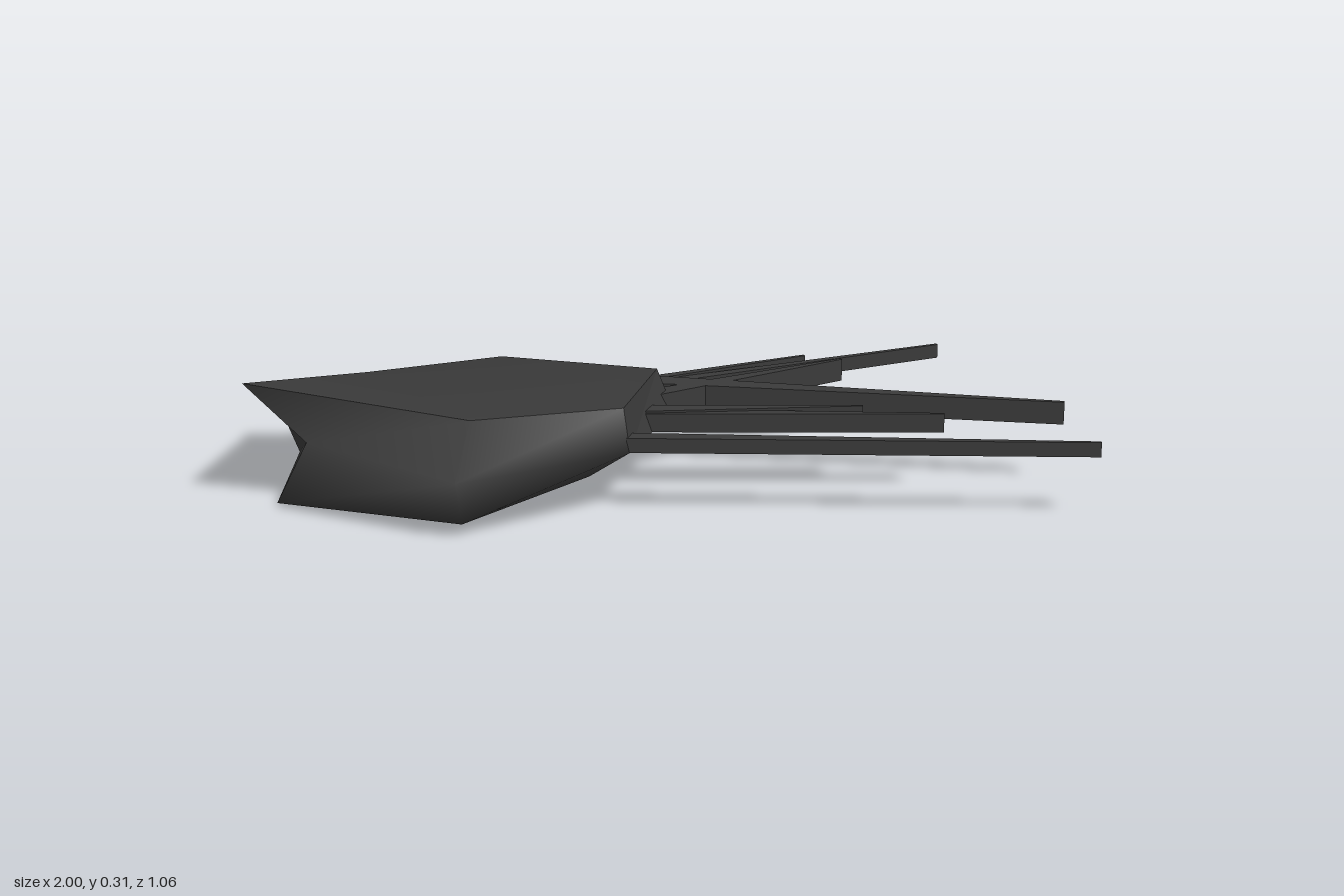
import * as THREE from 'three';

const darkGrey = new THREE.MeshStandardMaterial({ color: 0x3a3a3a, side: THREE.DoubleSide });
darkGrey.name = 'darkGrey';

// Corners of the hull: top ridge, middle rim and keel
const corners = {
  tailTop: [-0.95, 0.31, 0.34], tailBack: [-1, 0.155, -0.1], tailDip: [-0.73, 0.243, 0.015],
  tailNotch: [-0.82, 0.155, 0.29], tailKeelBack: [-0.93, 0.003, -0.075], tailKeelFront: [-0.89, 0.012, 0.31],
  ridgeFront: [-0.43, 0.235, 0.33], ridgeEnd: [-0.085, 0.26, 0.28],
  ridgeBackEnd: [-0.04, 0.265, -0.01], ridgeBack: [-0.43, 0.25, -0.12],
  rimFront: [-0.43, 0.155, 0.53], rimEnd: [-0.07, 0.155, 0.285],
  rimBackEnd: [0, 0.155, -0.025], rimBack: [-0.43, 0.155, -0.235],
  keelFront: [-0.43, 0.033, 0.46], keelEnd: [-0.17, 0.08, 0.245],
  keelBackEnd: [-0.15, 0.09, 0], keelBack: [-0.43, 0.035, -0.1],
};

// Panels share corners within one mesh, so they shade smoothly; flat ones stay faceted
function panels(name, faces, flat = false) {
  const names = [...new Set(faces.flat())];
  const index = [];
  for (const f of faces) {
    const i = f.map((n) => names.indexOf(n));
    for (let k = 1; k < i.length - 1; k++) index.push(i[0], i[k], i[k + 1]);
  }
  let geo = new THREE.BufferGeometry();
  geo.setAttribute('position', new THREE.Float32BufferAttribute(names.flatMap((n) => corners[n]), 3));
  geo.setIndex(index);
  if (flat) geo = geo.toNonIndexed();
  geo.computeVertexNormals();
  const mesh = new THREE.Mesh(geo, darkGrey);
  mesh.name = name;
  return mesh;
}

// Upright blade with the given plan outline [x, z], standing on the rim level
function blade(name, outline, height) {
  const shape = new THREE.Shape(outline.map(([x, z]) => new THREE.Vector2(x, -z)));
  const geo = new THREE.ExtrudeGeometry(shape, { depth: height, bevelEnabled: false });
  geo.rotateX(-Math.PI / 2).translate(0, 0.155, 0);
  const mesh = new THREE.Mesh(geo, darkGrey);
  mesh.name = name;
  return mesh;
}

// Plan of a blade tapering from a wide root to a narrow tip
function taper([x0, z0], [x1, z1], rootWidth) {
  const len = Math.hypot(x1 - x0, z1 - z0);
  const nx = -(z1 - z0) / len / 2, nz = (x1 - x0) / len / 2, w = rootWidth, t = 0.009;
  return [
    [x0 + nx * w, z0 + nz * w], [x1 + nx * t, z1 + nz * t],
    [x1 - nx * t, z1 - nz * t], [x0 - nx * w, z0 - nz * w],
  ];
}

export function createModel() {
  const model = new THREE.Group();
  model.name = 'bladedHull';

  // Top deck
  model.add(panels('deck', [
    ['tailTop', 'ridgeFront', 'tailDip'],
    ['tailDip', 'ridgeFront', 'ridgeBack'],
    ['tailDip', 'ridgeBack', 'rimBack', 'tailBack'],
    ['ridgeFront', 'ridgeEnd', 'ridgeBackEnd', 'ridgeBack'],
    ['ridgeBack', 'ridgeBackEnd', 'rimBackEnd', 'rimBack'],
  ]));
  model.add(panels('tailFin', [['tailTop', 'tailDip', 'tailBack']]));

  // Front slope and underside
  model.add(panels('lowerHull', [
    ['tailNotch', 'rimFront', 'ridgeFront', 'tailTop'],
    ['rimFront', 'rimEnd', 'ridgeEnd', 'ridgeFront'],
    ['tailKeelFront', 'keelFront', 'rimFront', 'tailNotch'],
    ['keelFront', 'keelEnd', 'rimEnd', 'rimFront'],
    ['keelEnd', 'keelBackEnd', 'rimBackEnd', 'rimEnd'],
    ['keelBackEnd', 'keelBack', 'rimBack', 'rimBackEnd'],
    ['keelBack', 'tailKeelBack', 'tailBack', 'rimBack'],
    ['tailKeelBack', 'keelBack', 'keelFront', 'tailKeelFront'],
    ['keelBack', 'keelBackEnd', 'keelEnd', 'keelFront'],
  ]));

  // Blunt end and notched tail
  model.add(panels('bluntEnd', [['rimEnd', 'rimBackEnd', 'ridgeBackEnd', 'ridgeEnd']], true));
  model.add(panels('tailNotch', [
    ['tailBack', 'tailNotch', 'tailTop'],
    ['tailKeelBack', 'tailKeelFront', 'tailNotch', 'tailBack'],
  ], true));

  // Fan of tapering blades: root, tip, root width, height
  const fan = [
    [[-0.1, 0.268], [0.995, 0.204], 0.04, 0.035],
    [[-0.06, 0.117], [0.64, 0.064], 0.04, 0.045],
    [[-0.06, 0.11], [0.45, 0.037], 0.045, 0.05],
    [[-0.06, 0.01], [0.385, -0.313], 0.05, 0.055],
    [[-0.15, -0.09], [0.62, -0.53], 0.035, 0.035],
    [[-0.17, -0.1], [0.29, -0.383], 0.03, 0.04],
  ];
  fan.forEach(([root, tip, width, height], i) =>
    model.add(blade(`blade${i + 1}`, taper(root, tip, width), height)));

  // Long blade whose root lies along the back of the hull
  model.add(blade('longBlade',
    [[-0.36, -0.155], [-0.12, -0.07], [0, -0.065], [0.92, -0.018], [0.92, -0.028], [-0.05, -0.128]], 0.055));
  return model;
}
